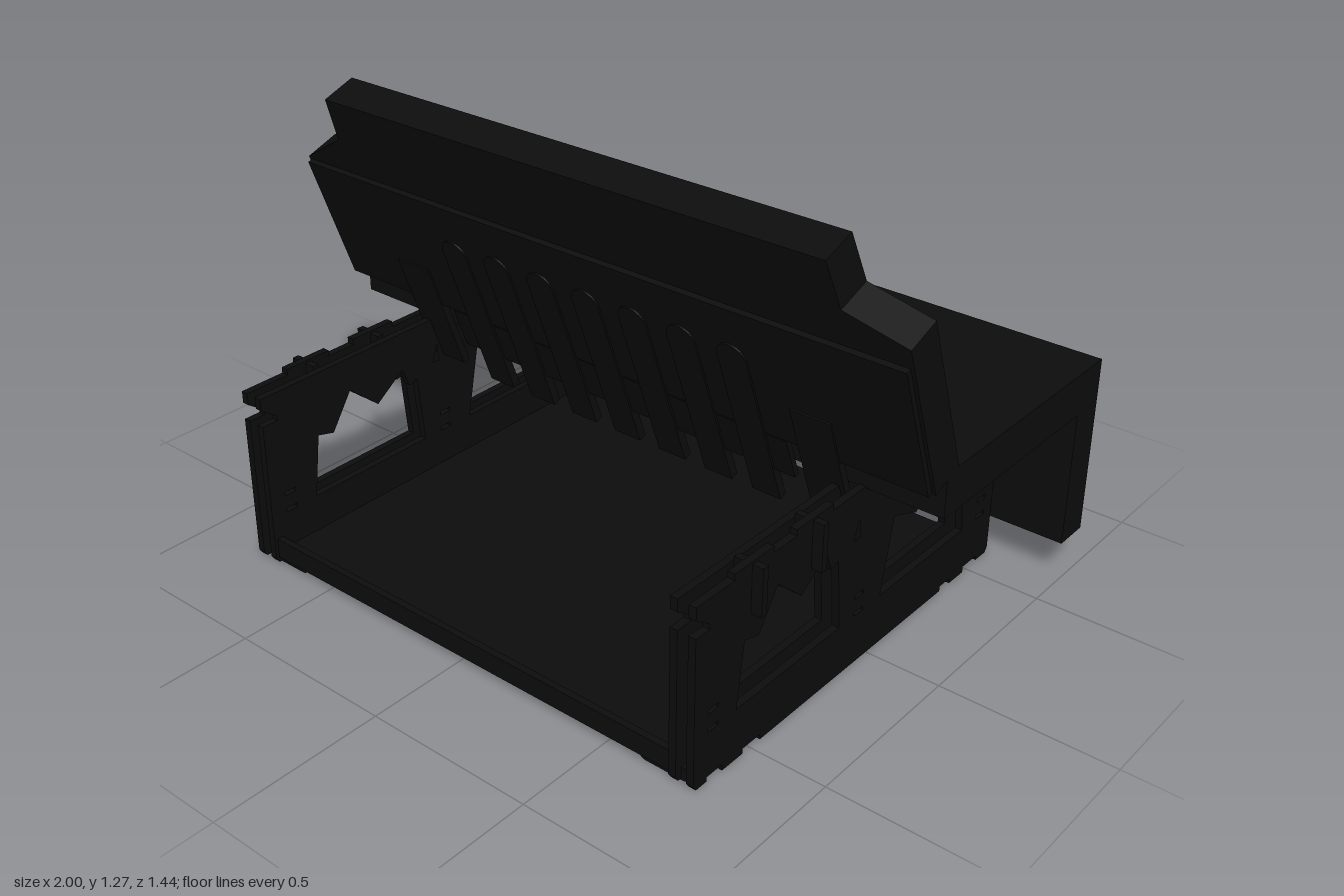
import * as THREE from 'three';

export function createModel() {
  const model = new THREE.Group();
  model.name = 'foldingTrayUnit';
  const black = new THREE.MeshStandardMaterial({ color: 0x0d0d0d });
  black.name = 'matte black';

  const add = (parent, name, geometry) => {
    const mesh = new THREE.Mesh(geometry, black);
    mesh.name = name;
    parent.add(mesh);
    return mesh;
  };
  // Box given by its limits on each axis
  const box = (parent, name, x0, x1, y0, y1, z0, z1) => {
    const g = new THREE.BoxGeometry(x1 - x0, y1 - y0, z1 - z0);
    g.translate((x0 + x1) / 2, (y0 + y1) / 2, (z0 + z1) / 2);
    return add(parent, name, g);
  };
  const points = list => list.map(([a, b]) => new THREE.Vector2(a, b));

  // Side frame profile in (z, y), with two jagged windows and vent slots
  const sideOutline = [
    [0.72, 0.02], [0.71, 0.005], [0.67, 0.005], [0.67, 0.018], [0.61, 0.018], [0.61, 0],
    [0.53, 0], [0.53, 0.015], [0.46, 0.015], [0.46, 0], [-0.36, 0], [-0.36, 0.015],
    [-0.41, 0.015], [-0.41, 0], [-0.48, 0], [-0.48, 0.018], [-0.55, 0.018], [-0.55, 0.005],
    [-0.6, 0.005], [-0.61, 0.02], [-0.61, 0.525], [0.72, 0.525], [0.72, 0.49],
    [0.67, 0.455], [0.67, 0.44], [0.72, 0.44],
  ];
  const windows = [
    [[0.56, 0.15], [0.535, 0.335], [0.48, 0.32], [0.41, 0.425], [0.31, 0.34],
      [0.21, 0.41], [0.185, 0.35], [0.155, 0.36], [0.135, 0.15]],
    [[-0.05, 0.15], [-0.095, 0.37], [-0.2, 0.33], [-0.295, 0.405], [-0.37, 0.315],
      [-0.43, 0.34], [-0.455, 0.15]],
    [[0.09, 0.385], [0.065, 0.385], [0.07, 0.44]],
  ];
  for (const z of [0.65, 0.05, -0.55])
    for (const y of [0.155, 0.207])
      windows.push([[z - 0.02, y - 0.006], [z + 0.02, y - 0.006], [z + 0.02, y + 0.006], [z - 0.02, y + 0.006]]);

  const sidePlate = (x, depth) => {
    const shape = new THREE.Shape(points(sideOutline));
    shape.holes = windows.map(w => new THREE.Path(points(w)));
    const g = new THREE.ExtrudeGeometry(shape, { depth, bevelEnabled: false });
    g.rotateY(-Math.PI / 2);
    g.translate(x + depth / 2, 0, 0);
    return g;
  };

  for (const s of [1, -1]) {
    const side = new THREE.Group();
    side.name = s > 0 ? 'leftFrame' : 'rightFrame';
    model.add(side);
    add(side, 'outerPlate', sidePlate(s * 0.768, 0.022));
    add(side, 'innerPlate', sidePlate(s * 0.715, 0.022));
    // Caps on the top rail, each with a crosswise gusset
    for (const z of [0.505, 0.265]) {
      box(side, 'railCap', s * 0.768 - 0.011, s * 0.768 + 0.011, 0.52, 0.542, z - 0.075, z + 0.075);
      box(side, 'gusset', s * 0.768 - 0.042, s * 0.768 + 0.042, 0.4, 0.535, z - 0.01, z + 0.01);
    }
    for (const z of [-0.165, -0.41])
      box(side, 'gusset', s * 0.768 - 0.042, s * 0.768 + 0.042, 0.4, 0.52, z - 0.01, z + 0.01);
    // Rounded feet beneath the tray corners
    for (const z of [0.65, -0.55]) {
      const foot = new THREE.Shape();
      foot.moveTo(-0.075, 0.04);
      foot.lineTo(-0.075, 0.02);
      foot.quadraticCurveTo(-0.075, 0.002, -0.055, 0.002);
      foot.lineTo(0.055, 0.002);
      foot.quadraticCurveTo(0.075, 0.002, 0.075, 0.02);
      foot.lineTo(0.075, 0.04);
      const g = new THREE.ExtrudeGeometry(foot, { depth: 0.1, bevelEnabled: false });
      g.translate(s * 0.675, 0, z - 0.05);
      add(side, 'foot', g);
    }
  }

  // Tray
  box(model, 'trayFloor', -0.715, 0.715, 0.02, 0.04, -0.6, 0.71);
  box(model, 'trayFrontLip', -0.715, 0.715, 0.02, 0.08, 0.69, 0.71);

  // Rear cover: top slab and hanging back panel
  box(model, 'coverTop', -1, 1, 0.52, 0.645, -0.72, 0.05);
  box(model, 'coverBack', -1, 1, 0.12, 0.52, -0.72, -0.613);

  // Raised lid, leaning forward about its rear hinge edge
  const lid = new THREE.Group();
  lid.name = 'lid';
  lid.position.set(0, 0.645, 0);
  lid.rotation.x = THREE.MathUtils.degToRad(20);
  model.add(lid);
  const lidShape = new THREE.Shape(points([
    [-1, 0], [1, 0], [1, 0.473], [0.825, 0.527], [0.81, 0.667], [-0.81, 0.667], [-0.825, 0.527], [-1, 0.42],
  ]));
  add(lid, 'lidPanel', new THREE.ExtrudeGeometry(lidShape, { depth: 0.105, bevelEnabled: false }));
  box(lid, 'lidFacing', -0.99, 0.99, 0.005, 0.413, 0.1, 0.121);

  // Round-topped slats hanging below the lid, with open gaps between
  const slat = new THREE.Shape();
  slat.moveTo(-0.045, -0.24);
  slat.lineTo(0.045, -0.24);
  slat.lineTo(0.045, 0.25);
  slat.absarc(0, 0.25, 0.045, 0, Math.PI);
  slat.lineTo(-0.045, -0.24);
  for (let i = -3; i <= 3; i++) {
    const g = new THREE.ExtrudeGeometry(slat, { depth: 0.024, bevelEnabled: false, curveSegments: 8 });
    g.translate(i * 0.157, 0, 0.102);
    add(lid, 'slat', g);
  }
  box(lid, 'slatBar', -0.58, 0.58, -0.13, 0, 0.104, 0.12);
  for (const s of [1, -1])
    box(lid, 'hingeArm', s * 0.68 - 0.06, s * 0.68 + 0.06, -0.22, 0.14, 0.104, 0.126);

  return model;
}
